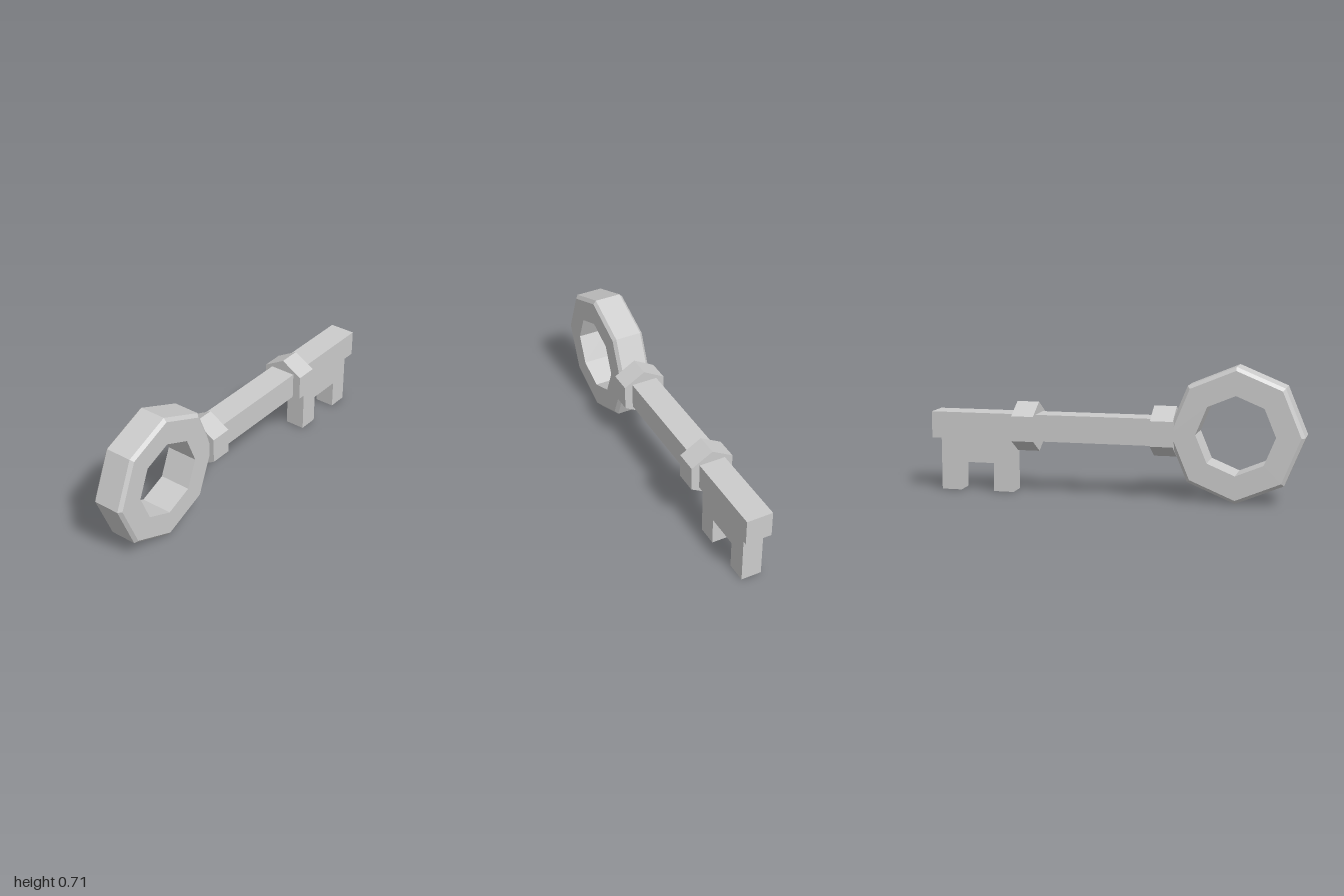
import * as THREE from 'three';

const material = new THREE.MeshStandardMaterial({ color: 0xcccccc, flatShading: true });
const AXIS_Y = 0.354; // height of the shaft axis

function addPart(group, name, geometry, x, y, z = 0) {
  const mesh = new THREE.Mesh(geometry, material);
  mesh.name = name;
  mesh.position.set(x, y, z);
  group.add(mesh);
  return mesh;
}

export function createModel() {
  const group = new THREE.Group();
  group.name = 'key';

  // Octagonal bow: closed profile (radius, depth) with chamfered outer edges
  const profile = [
    [0.207, -0.087], [0.335, -0.087], [0.354, -0.071],
    [0.354, 0.071], [0.335, 0.087], [0.207, 0.087], [0.207, -0.087],
  ].map(([r, d]) => new THREE.Vector2(r, d));
  const bow = new THREE.LatheGeometry(profile, 8).rotateX(Math.PI / 2);
  addPart(group, 'bow', bow, -0.646, AXIS_Y);

  // Square shaft, running from inside the first collar to the tip
  const start = -0.32, end = 1;
  addPart(group, 'shaft', new THREE.BoxGeometry(end - start, 0.142, 0.142), (start + end) / 2, 0.356);

  // Hexagonal collars with a corner pointing up
  const collar = new THREE.CylinderGeometry(0.133, 0.133, 0.12, 6, 1, false, Math.PI / 2)
    .rotateZ(Math.PI / 2);
  addPart(group, 'bowCollar', collar, -0.267, 0.355);
  addPart(group, 'bitCollar', collar, 0.479, 0.355);

  // Bit: plate with a notch between two teeth
  const outline = [
    [0.549, 0.002], [0.659, 0.002], [0.659, 0.155], [0.844, 0.155],
    [0.844, 0.002], [0.953, 0.002], [0.953, 0.287], [0.549, 0.287],
  ].map(([x, y]) => new THREE.Vector2(x, y));
  const bit = new THREE.ExtrudeGeometry(new THREE.Shape(outline), { depth: 0.11, bevelEnabled: false });
  addPart(group, 'bit', bit, 0, 0, -0.055);

  return group;
}
